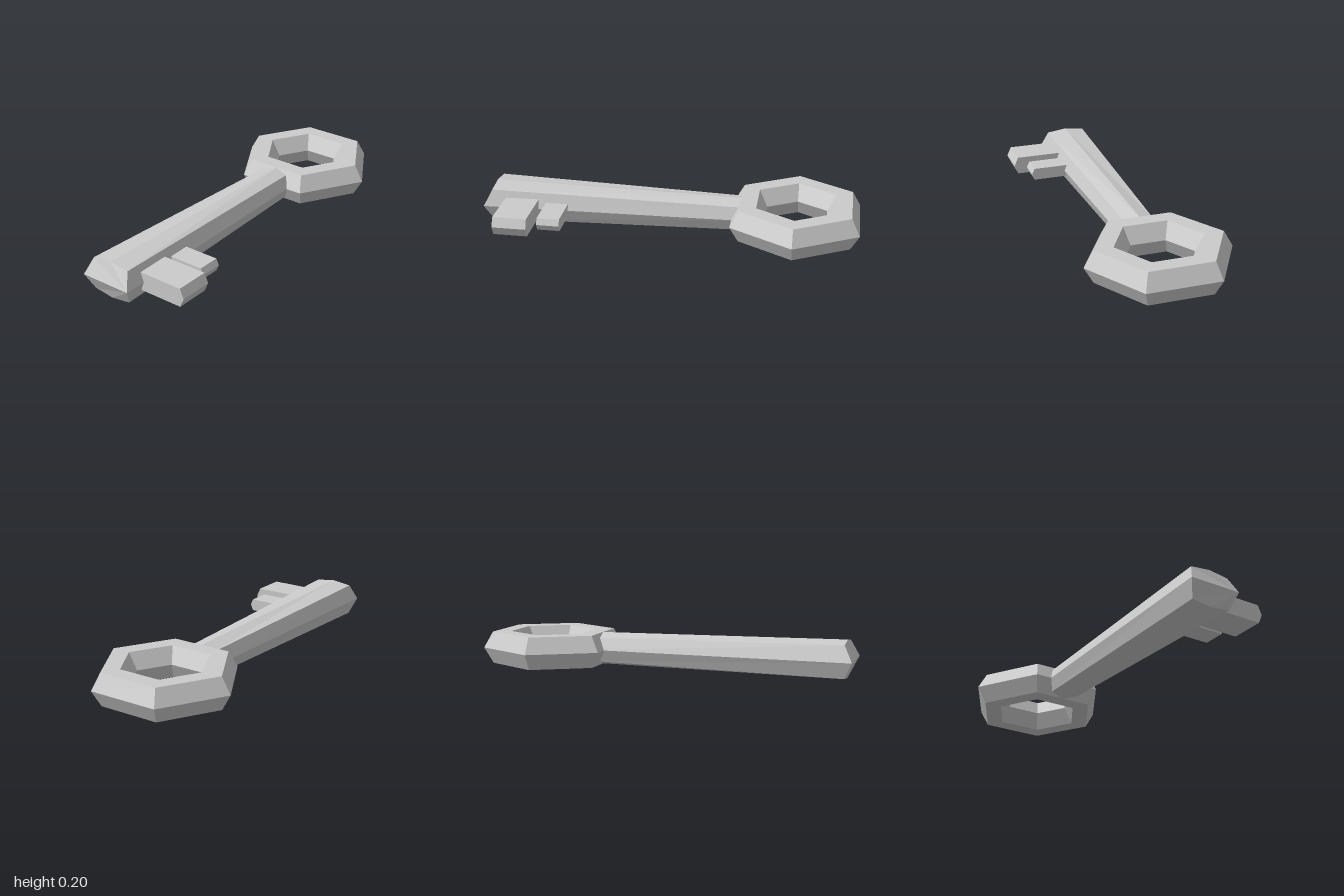
import * as THREE from 'three';

const MID = 0.1; // height of the symmetry plane

export function createModel() {
  const key = new THREE.Group();
  key.name = 'key';
  const material = new THREE.MeshStandardMaterial({ color: 0xcccccc, flatShading: true });
  const add = (name, geometry) => {
    const mesh = new THREE.Mesh(geometry, material);
    mesh.name = name;
    key.add(mesh);
    return mesh;
  };

  // Hexagonal ring handle with a hexagonal section
  const ring = add('ringHandle', new THREE.TorusGeometry(0.285, 0.1, 6, 6).rotateX(Math.PI / 2));
  ring.position.set(0, MID, -0.667);

  // Tapered eight-sided shaft with a wedge-shaped front end
  add('shaft', shaftGeometry());

  // Two teeth on the left side, each with a pointed outer end
  const tooth = (name, tip, bevel, halfHeight, z0, z1) => {
    const shape = new THREE.Shape([
      new THREE.Vector2(0.07, -halfHeight),
      new THREE.Vector2(tip - bevel, -halfHeight),
      new THREE.Vector2(tip, 0),
      new THREE.Vector2(tip - bevel, halfHeight),
      new THREE.Vector2(0.07, halfHeight),
    ]);
    const geometry = new THREE.ExtrudeGeometry(shape, { depth: z1 - z0, bevelEnabled: false });
    add(name, geometry).position.set(0, MID, z0);
  };
  tooth('largeTooth', 0.383, 0.022, 0.049, 0.7, 0.88);
  tooth('smallTooth', 0.32, 0.015, 0.033, 0.54, 0.66);

  return key;
}

// Section outline, counter-clockwise seen from the front
function section(side, cornerX, cornerY, ridge, zSide, zTop) {
  return [
    [side, 0, zSide], [cornerX, cornerY, zTop], [0, ridge, zTop], [-cornerX, cornerY, zTop],
    [-side, 0, zSide], [-cornerX, -cornerY, zTop], [0, -ridge, zTop], [cornerX, -cornerY, zTop],
  ].map(([x, y, z]) => [x, y + MID, z]);
}

function shaftGeometry() {
  const front = section(0.14, 0.108, 0.086, 0.1, 1, 0.957);
  const back = section(0.1, 0.075, 0.064, 0.086, -0.42, -0.42);
  const n = front.length;
  const index = [];
  for (let i = 0; i < n; i++) {
    const j = (i + 1) % n;
    index.push(i, n + i, n + j, i, n + j, j);
  }
  // End caps, fanned from the side corner so the front creases at mid height
  for (let i = 1; i < n - 1; i++) {
    index.push(0, i, i + 1, n, n + i + 1, n + i);
  }
  const geometry = new THREE.BufferGeometry();
  geometry.setAttribute('position', new THREE.Float32BufferAttribute([...front, ...back].flat(), 3));
  geometry.setIndex(index);
  const flat = geometry.toNonIndexed();
  flat.computeVertexNormals();
  return flat;
}
